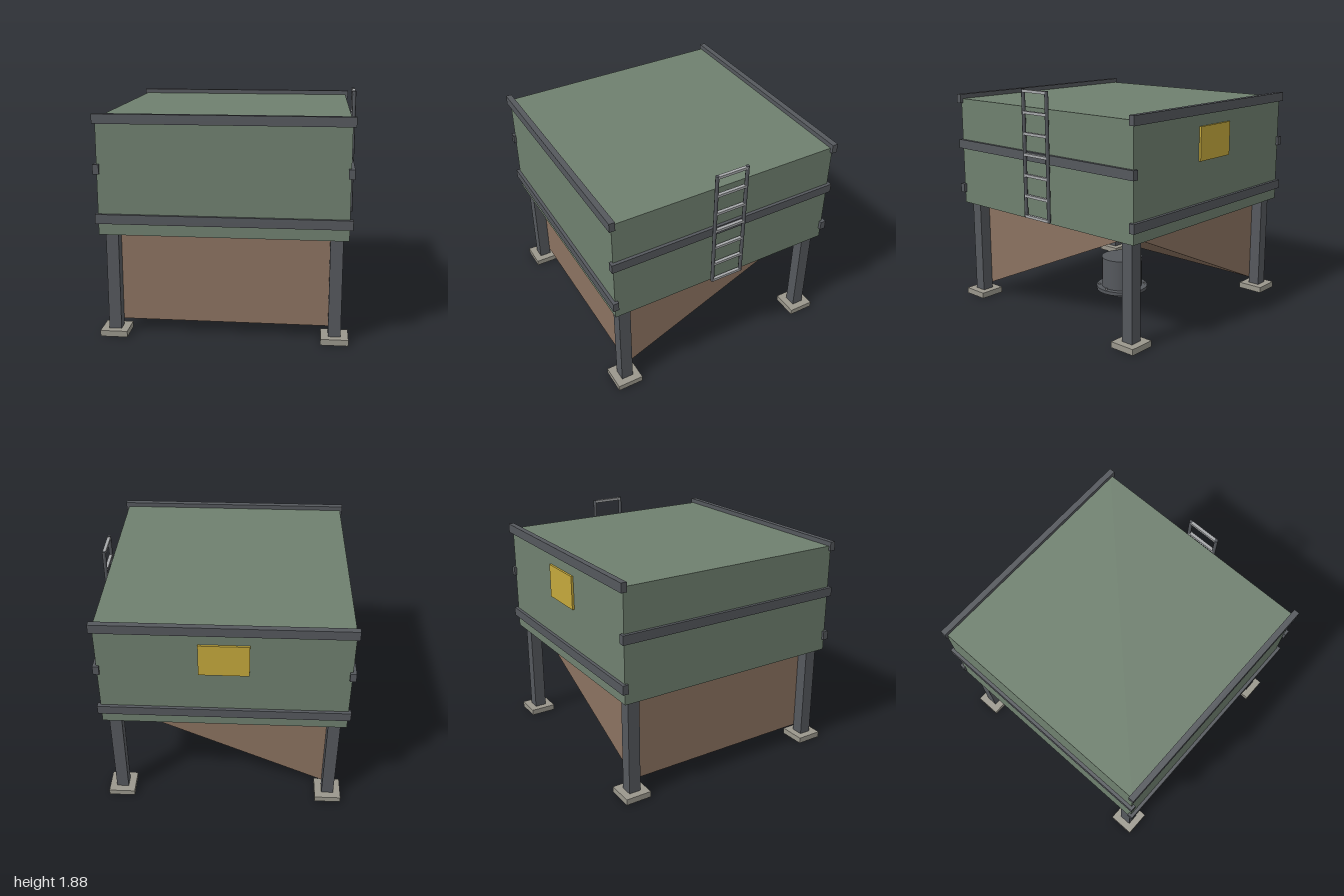
import * as THREE from 'three';

const CX = -0.015; // centre of the tank in x (the ladder shifts it off zero)

const mat = (color) => new THREE.MeshStandardMaterial({ color });
const GREEN = mat(0x6f806f), STEEL = mat(0x55585d), BROWN = mat(0x8b7260);
const CONCRETE = mat(0x9a978c), RUNG = mat(0xa6a8aa), YELLOW = mat(0xc4a83c);
BROWN.side = THREE.DoubleSide;
BROWN.flatShading = true;

export function createModel() {
  const model = new THREE.Group();

  const add = (name, geometry, material, x, y, z, parent = model) => {
    const mesh = new THREE.Mesh(geometry, material);
    mesh.name = name;
    mesh.position.set(x, y, z);
    parent.add(mesh);
    return mesh;
  };
  const box = (name, w, h, d, material, x, y, z, parent) =>
    add(name, new THREE.BoxGeometry(w, h, d), material, x, y, z, parent);

  // Bin body
  box('binBody', 1.916, 0.9, 1.925, GREEN, CX, 1.288, 0);

  // Stiffening rails: two on front and back, one on each side
  for (const s of [-1, 1]) {
    for (const y of [0.967, 1.738]) box('frontBackRail', 1.96, 0.074, 0.047, STEEL, -0.012, y, s * 0.965);
    box('sideRail', 0.047, 0.074, 1.968, STEEL, CX + s * 0.96, 1.353, 0);
  }

  // Legs standing on footing pads
  for (const sx of [-1, 1]) for (const sz of [-1, 1]) {
    box('leg', 0.098, 0.84, 0.098, STEEL, CX + sx * 0.867, 0.42, sz * 0.867);
    box('footingPad', 0.215, 0.048, 0.215, CONCRETE, CX + sx * 0.867, 0.026, sz * 0.867);
  }

  // Hopper: upright front and left walls, underside folded up to one corner
  const r = 0.82, lo = 0.1, hi = 0.842;
  const corner = {
    a: [-r, lo, r], b: [r, lo, r], c: [-r, lo, -r],            // low corners
    A: [-r, hi, r], B: [r, hi, r], C: [-r, hi, -r], D: [r, hi, -r], // top corners
  };
  const faces = ['abB', 'aBA', 'caA', 'cAC', 'bDB', 'cCD', 'aDb', 'acD'];
  const hopper = new THREE.BufferGeometry();
  hopper.setAttribute('position', new THREE.Float32BufferAttribute(
    faces.flatMap((f) => [...f].flatMap((k) => corner[k])), 3));
  hopper.computeVertexNormals();
  add('hopper', hopper, BROWN, CX, 0, 0);

  // Round outlet with bolted flange
  const outlet = new THREE.Group();
  outlet.name = 'outlet';
  outlet.position.x = CX;
  model.add(outlet);
  add('outletPipe', new THREE.CylinderGeometry(0.18, 0.18, 0.322, 24), STEEL, 0, 0.161, 0, outlet);
  add('outletFlange', new THREE.CylinderGeometry(0.228, 0.228, 0.03, 24), STEEL, 0, 0.04, 0, outlet);
  for (let i = 0; i < 8; i++) {
    const a = (i * Math.PI) / 4;
    add('flangeBolt', new THREE.CylinderGeometry(0.009, 0.009, 0.056, 6), RUNG,
      0.203 * Math.cos(a), 0.042, 0.203 * Math.sin(a), outlet);
  }

  // Ladder on the left side
  const ladder = new THREE.Group();
  ladder.name = 'ladder';
  ladder.position.x = 0.981;
  model.add(ladder);
  for (const s of [-1, 1])
    add('ladderStile', new THREE.CylinderGeometry(0.015, 0.015, 1.02, 8), STEEL, 0, 1.37, s * 0.13, ladder);
  for (let i = 0; i < 7; i++)
    box('ladderRung', 0.026, 0.022, 0.26, RUNG, 0, 0.87 + i * 0.166, 0, ladder);

  // Plain sign plate on the back
  box('signPlate', 0.385, 0.27, 0.02, YELLOW, CX, 1.473, -0.97);

  return model;
}
